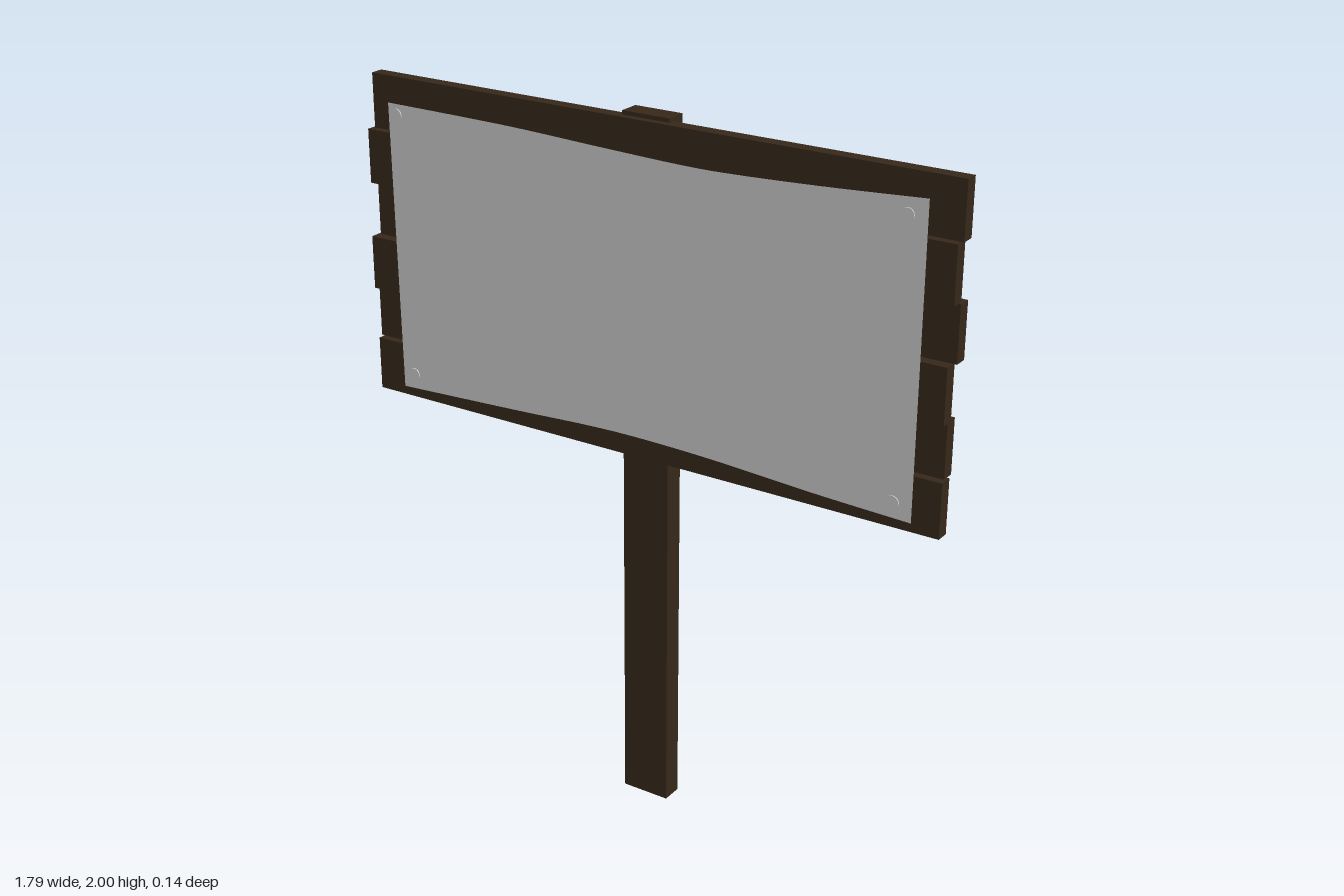
import * as THREE from 'three';

const wood = new THREE.MeshStandardMaterial({ color: 0x36281a, flatShading: true });
const grey = new THREE.MeshStandardMaterial({ color: 0xcccccc, side: THREE.DoubleSide });

// Box given by its two extents on each axis
function beam(name, [x0, x1], [y0, y1], [z0, z1]) {
  const mesh = new THREE.Mesh(new THREE.BoxGeometry(x1 - x0, y1 - y0, z1 - z0), wood);
  mesh.position.set((x0 + x1) / 2, (y0 + y1) / 2, (z0 + z1) / 2);
  mesh.name = name;
  return mesh;
}

export function createModel() {
  const model = new THREE.Group();
  model.name = 'signpost';

  model.add(beam('post', [-0.08, 0.062], [0, 2], [-0.07, -0.01]));

  // Uneven planks, bottom to top: left end, right end, front z
  const planks = new THREE.Group();
  planks.name = 'planks';
  const rows = [
    [-0.89, 0.885, 0.033], [-0.9, 0.878, 0.01], [-0.89, 0.882, 0.04],
    [-0.884, 0.892, 0.01], [-0.89, 0.885, 0.032], [-0.884, 0.89, 0.01],
  ];
  const bottom = 1.077, height = 0.152;
  rows.forEach(([x0, x1, z], i) => {
    const y = bottom + i * height;
    planks.add(beam('plank', [x0, x1], [y, y + height], [z - 0.038, z]));
  });
  model.add(planks);

  // Paper sheet with sagging top and bottom edges
  const vec = ([x, y]) => new THREE.Vector2(x, y);
  const outline = new THREE.Shape();
  outline.moveTo(-0.78, 1.115);
  outline.splineThru([[-0.4, 1.132], [-0.15, 1.145], [0.02, 1.148], [0.25, 1.142], [0.55, 1.125], [0.82, 1.115]].map(vec));
  outline.lineTo(0.82, 1.943);
  outline.splineThru([[0.55, 1.925], [0.3, 1.913], [0.15, 1.911], [-0.1, 1.918], [-0.4, 1.928], [-0.79, 1.931]].map(vec));
  outline.closePath();
  const paper = new THREE.Mesh(new THREE.ShapeGeometry(outline, 5), grey);
  paper.position.z = 0.06;
  paper.name = 'paper';
  model.add(paper);

  // Flat pin heads near the corners
  for (const [x, y] of [[-0.757, 1.903], [0.77, 1.898], [-0.737, 1.163], [0.77, 1.163]]) {
    const pin = new THREE.Mesh(new THREE.CylinderGeometry(0.018, 0.018, 0.003, 20), grey);
    pin.rotation.x = Math.PI / 2;
    pin.position.set(x, y, 0.0685);
    pin.name = 'pin';
    model.add(pin);
  }
  return model;
}
